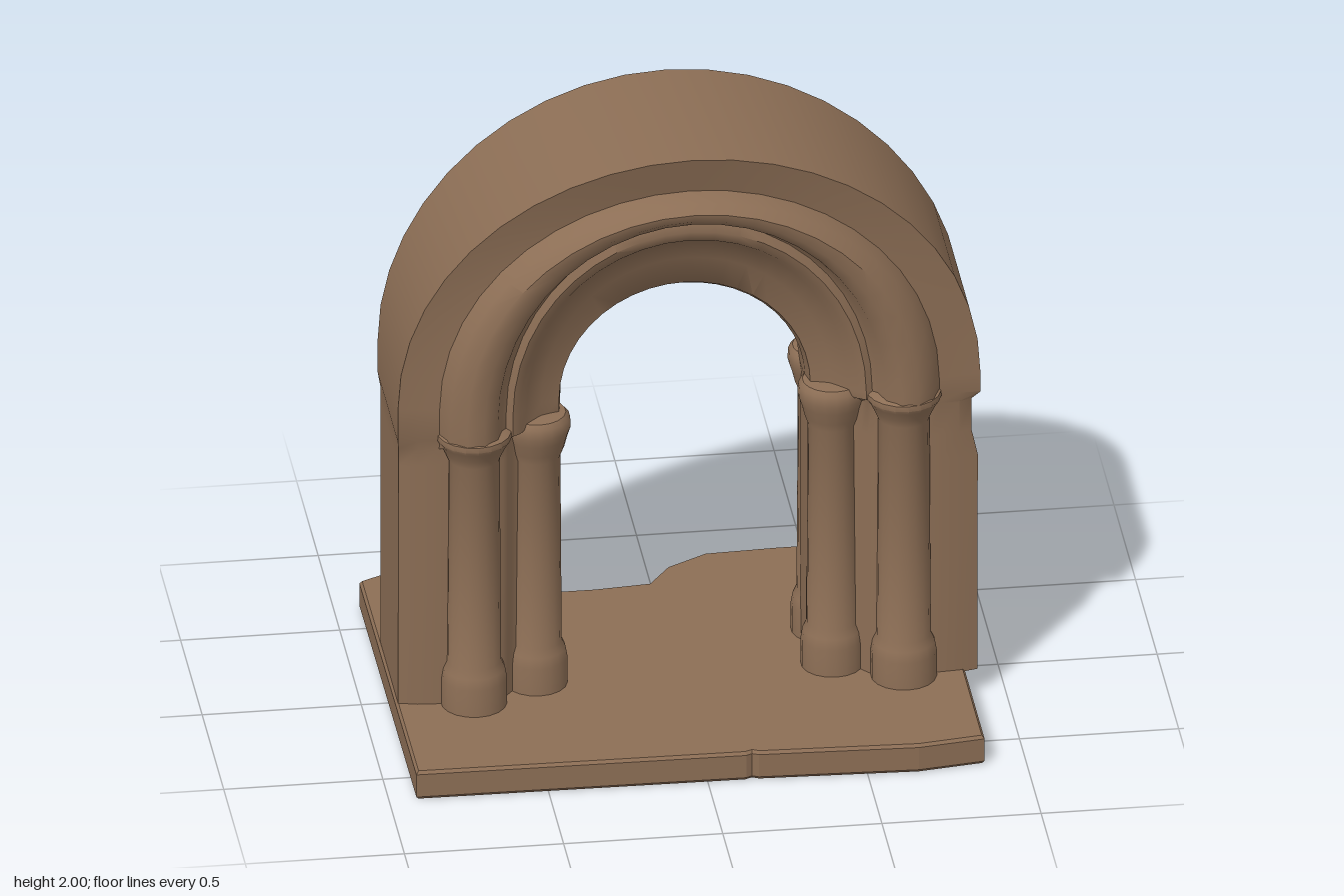
import * as THREE from 'three';
import { toCreasedNormals } from 'three/addons/utils/BufferGeometryUtils.js';

const stone = new THREE.MeshStandardMaterial({ color: 0x8c6e55 });
stone.name = 'brown stone';

const FRONT_SHIFT = -0.007, REAR_SHIFT = -0.018;

// Arch section, inner to outer: half-width, crown height, half-depth, extra depth at crown
const ARCH = [
  [0.385, 1.45, 0.07, 0], [0.395, 1.48, 0.125, 0], [0.455, 1.59, 0.15, 0.02], [0.505, 1.67, 0.19, 0.02],
  [0.53, 1.69, 0.225, 0.02], [0.555, 1.725, 0.24, 0.02], [0.575, 1.755, 0.23, 0.02], [0.59, 1.775, 0.245, 0.02],
  [0.61, 1.785, 0.3, 0.02], [0.655, 1.81, 0.33, 0.02], [0.71, 1.835, 0.33, 0.025], [0.76, 1.86, 0.295, 0.03],
  [0.785, 1.875, 0.235, 0.03], [0.85, 1.93, 0.23, 0.05], [0.915, 2.0, 0.23, 0.07],
];
// Pier section with the same number of points: distance from the middle, half-depth
const PIER = [
  [0.39, 0.06], [0.395, 0.1], [0.43, 0.12], [0.5, 0.13], [0.53, 0.145], [0.55, 0.165], [0.565, 0.185], [0.58, 0.2],
  [0.61, 0.21], [0.655, 0.215], [0.71, 0.215], [0.76, 0.215], [0.785, 0.215], [0.85, 0.21], [0.91, 0.195],
];

// Closed ring of points from a half section: along the front, then back along the rear
function ring(half) {
  const front = half.map(([x, y, z]) => [x, y, z + FRONT_SHIFT]);
  const rear = half.map(([x, y, z]) => [x, y, -z + REAR_SHIFT]).reverse();
  return [...front, ...rear];
}

function loft(rings) {
  const n = rings[0].length;
  const index = [];
  for (let i = 0; i < rings.length - 1; i++) {
    for (let j = 0; j < n; j++) {
      const a = i * n + j, b = i * n + (j + 1) % n;
      index.push(a, b, b + n, a, b + n, a + n);
    }
  }
  const geo = new THREE.BufferGeometry();
  geo.setAttribute('position', new THREE.Float32BufferAttribute(rings.flat(2), 3));
  geo.setIndex(index);
  return toCreasedNormals(geo, 0.75);
}

// The capitals on the left pier sit a little higher
const capitalLift = (side) => (side > 0 ? 0.05 : 0);

// Rings of one pier from the floor up to the foot of the arch
function pierRings(side) {
  const lift = capitalLift(side);
  const rings = [0.09, 0.5, 0.85, 0.94, 1.0 + lift].map((y) => ring(PIER.map(([x, z], k) => {
    const worn = side > 0 && y > 0.9 && k === PIER.length - 1 ? 0.02 : 0; // worn corner
    return [side * (x - worn), y, z + 0.01 * y];
  })));
  rings.push(ring(ARCH.map(([a, , z]) => [side * a, 1.035 + lift, z])));
  return rings;
}

function archGeometry() {
  const rings = pierRings(1);
  const steps = 22;
  for (let i = 0; i <= steps; i++) {
    const t = Math.PI * i / steps, s = Math.sin(t), c = Math.cos(t);
    rings.push(ring(ARCH.map(([a, top, z, grow], k) => {
      const spring = 1.09 + 0.06 * k / (ARCH.length - 1);
      return [a * c, spring + (top - spring) * s, z + grow * s * s];
    })));
  }
  rings.push(...pierRings(-1).reverse());
  return loft(rings);
}

// Turned column: plinth, shaft and moulded capital
function column(name, x, z, r, capY, capR, capH) {
  const pts = [
    [r + 0.018, 0.08], [r + 0.018, 0.19], [r + 0.012, 0.225], [r, 0.25], [r * 0.97, 0.6], [r * 0.95, capY - 0.05],
    [r + 0.008, capY - 0.02], [capR - 0.01, capY + capH * 0.2], [capR, capY + capH * 0.5],
    [capR - 0.002, capY + capH * 0.85], [capR - 0.015, capY + capH], [0, capY + capH + 0.01],
  ].map(([px, py]) => new THREE.Vector2(px, py));
  const mesh = new THREE.Mesh(toCreasedNormals(new THREE.LatheGeometry(pts, 18), 0.75), stone);
  mesh.name = name;
  mesh.position.set(x, 0, z);
  return mesh;
}

// Floor slab with a broken-out rear edge
function slabGeometry() {
  const outline = [
    [-0.915, 0.65], [0.12, 0.66], [0.14, 0.65], [0.16, 0.66], [0.66, 0.68], [0.87, 0.65],
    [0.87, -0.685], [0.4, -0.685], [0.17, -0.675], [0.04, -0.6], [-0.03, -0.5], [-0.2, -0.485],
    [-0.4, -0.485], [-0.45, -0.57], [-0.42, -0.67], [-0.65, -0.66], [-0.85, -0.67], [-0.92, -0.635],
  ];
  const shape = new THREE.Shape(outline.map(([x, z]) => new THREE.Vector2(x, -z)));
  const geo = new THREE.ExtrudeGeometry(shape, {
    depth: 0.078, bevelEnabled: true, bevelSize: 0.008, bevelOffset: -0.008, bevelThickness: 0.01, bevelSegments: 1,
  });
  geo.rotateX(-Math.PI / 2);
  geo.translate(0, 0.01, 0);
  return geo;
}

export function createModel() {
  const model = new THREE.Group();
  model.name = 'stoneArchway';

  const arch = new THREE.Mesh(archGeometry(), stone);
  arch.name = 'archAndPiers';
  const slab = new THREE.Mesh(slabGeometry(), stone);
  slab.name = 'floorSlab';
  model.add(arch, slab);

  // Outer and inner columns at the four corners
  for (const side of [-1, 1]) {
    const lift = capitalLift(side);
    for (const face of [-1, 1]) {
      const tag = (side > 0 ? 'Left' : 'Right') + (face > 0 ? 'Front' : 'Rear');
      const shift = face > 0 ? FRONT_SHIFT : REAR_SHIFT;
      model.add(column('outerColumn' + tag, side * 0.675, face * 0.22 + shift, 0.085, 1.01 + lift, 0.118, 0.05));
      model.add(column('innerColumn' + tag, side * 0.465, face * 0.11 + shift, 0.08, 0.95 + lift, 0.108, 0.1));
    }
  }
  return model;
}
